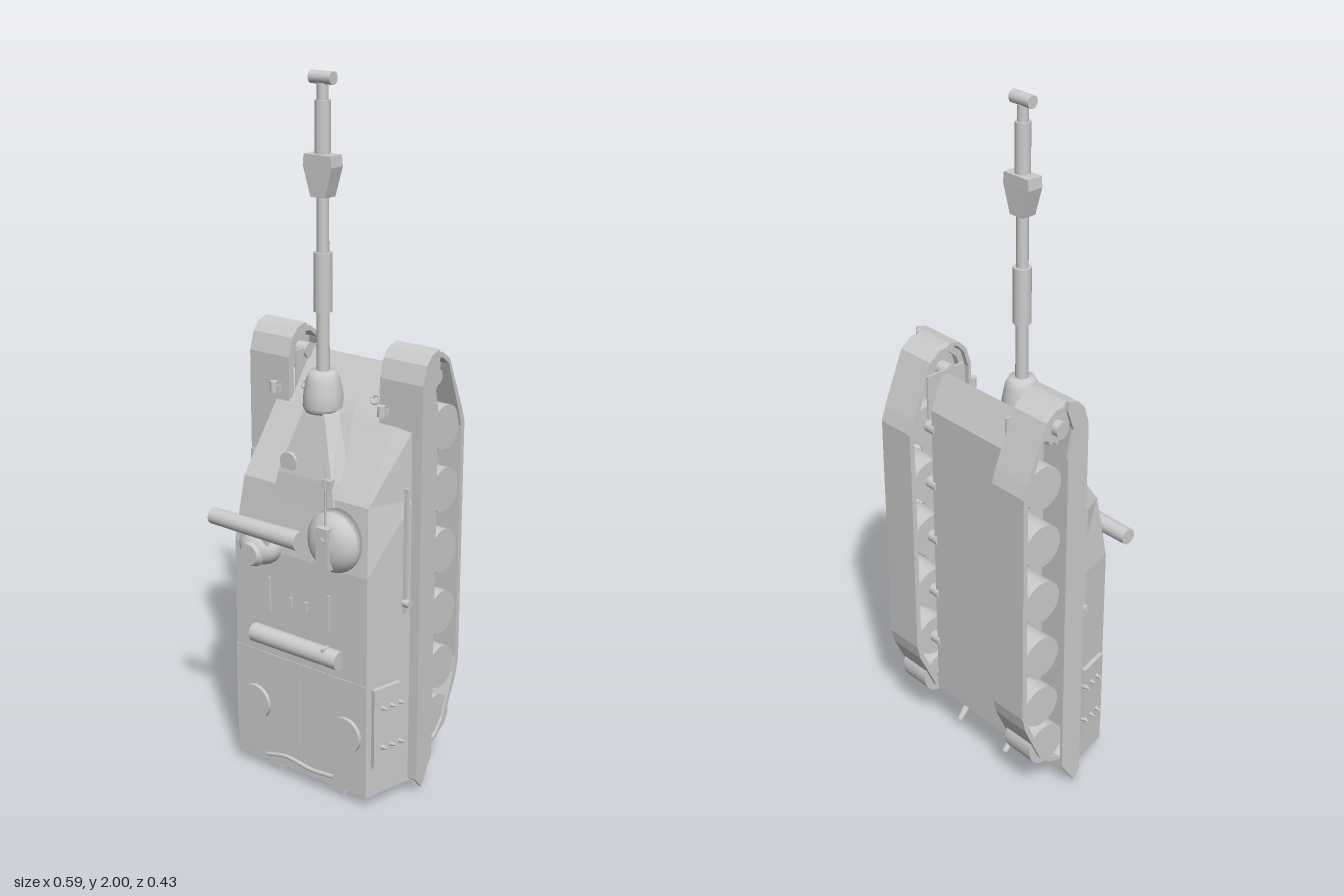
import * as THREE from 'three';

const mat = new THREE.MeshStandardMaterial({ color: 0xcccccc });
const flat = new THREE.MeshStandardMaterial({ color: 0xcccccc, flatShading: true });

export function createModel() {
  const root = new THREE.Group();
  root.name = 'trackedVehicle';
  const body = new THREE.Group();
  body.name = 'vehicle';
  body.position.x = -0.004;
  root.add(body);

  const add = (name, geo, x = 0, y = 0, z = 0, m = mat) => {
    const mesh = new THREE.Mesh(geo, m);
    mesh.name = name;
    mesh.position.set(x, y, z);
    body.add(mesh);
    return mesh;
  };
  const box = (name, w, h, d, x, y, z) => add(name, new THREE.BoxGeometry(w, h, d), x, y, z);
  const cyl = (r1, r2, h, n = 24) => new THREE.CylinderGeometry(r1, r2, h, n);
  const cylX = (r1, r2, h, n = 24) => cyl(r1, r2, h, n).rotateZ(-Math.PI / 2);
  const cylZ = (r1, r2, h, n = 24) => cyl(r1, r2, h, n).rotateX(Math.PI / 2);

  // Side profile given as [z, y] points, extruded across x and centred
  const side = (pts, width, hole) => {
    const s = new THREE.Shape(pts.map(p => new THREE.Vector2(...p)));
    if (hole) s.holes.push(new THREE.Path(hole.map(p => new THREE.Vector2(...p))));
    return new THREE.ExtrudeGeometry(s, { depth: width, bevelEnabled: false })
      .translate(0, 0, -width / 2).rotateY(-Math.PI / 2);
  };

  // Closed loft through rings: each section is [y, [[x, z], ...]]
  const loft = sections => {
    const v = [];
    const put = (s, i) => v.push(s[1][i][0], s[0], s[1][i][1]);
    const n = sections[0][1].length, last = sections[sections.length - 1];
    for (let k = 0; k + 1 < sections.length; k++) {
      const a = sections[k], b = sections[k + 1];
      for (let i = 0; i < n; i++) {
        const j = (i + 1) % n;
        put(a, i); put(a, j); put(b, j);
        put(a, i); put(b, j); put(b, i);
      }
    }
    for (let i = 1; i + 1 < n; i++) {
      put(last, 0); put(last, i); put(last, i + 1);
      put(sections[0], 0); put(sections[0], i + 1); put(sections[0], i);
    }
    const g = new THREE.BufferGeometry();
    g.setAttribute('position', new THREE.Float32BufferAttribute(v, 3));
    g.computeVertexNormals();
    return g;
  };

  // Hull: lower tub between the tracks, upper body over them
  add('lowerHull', side([[-0.146, 0.17], [-0.03, 0.04], [0.01, 0.04], [0.01, 1.075],
    [-0.097, 1.222], [-0.146, 1.12]], 0.304));
  const trap = (wb, wt, t) => [[-wb, -0.004], [-wt, t], [wt, t], [wb, -0.004]];
  add('upperHull', loft([
    [0.04, trap(0.268, 0.232, 0.155)],
    [0.7, trap(0.268, 0.232, 0.155)],
    [0.89, trap(0.268, 0.215, 0.13)],
    [1.09, trap(0.266, 0.2, 0)],
  ]), 0, 0, 0, flat);

  // Raised gun housing on the sloping front
  const hump = (w, t, f) => [[-w, -0.02], [-w * 0.97, t * 0.6], [-w * f, t],
    [w * f, t], [w * 0.97, t * 0.6], [w, -0.02]];
  add('gunHousing', loft([
    [0.86, hump(0.125, 0.138, 0.85)],
    [0.93, hump(0.118, 0.13, 0.78)],
    [1.1, hump(0.062, 0.09, 0.6)],
    [1.13, hump(0.05, 0.075, 0.6)],
  ]), 0, 0, 0, flat);
  add('housingHatch', cylZ(0.028, 0.028, 0.014), -0.06, 0.96, 0.121);
  box('housingSight', 0.03, 0.025, 0.02, 0.08, 0.93, 0.13);

  // Gun
  const GZ = 0.048;
  const lathe = pts => new THREE.LatheGeometry(pts.map(p => new THREE.Vector2(...p)), 24);
  add('mantlet', lathe([[0, 1.1], [0.05, 1.1], [0.056, 1.115], [0.054, 1.15],
    [0.046, 1.19], [0.036, 1.212], [0, 1.215]]), 0, 0, GZ);
  add('barrel', cyl(0.015, 0.018, 0.78), 0, 1.58, GZ);
  add('barrelSleeve', cyl(0.025, 0.025, 0.16), 0, 1.455, GZ);
  const rect = (w, d) => [[-w, -d], [-w, d], [w, d], [w, -d]];
  add('fumeExtractor', loft([[1.68, rect(0.024, 0.022)], [1.76, rect(0.047, 0.024)],
    [1.79, rect(0.044, 0.024)]]), 0, 0, GZ, flat);
  add('muzzleSleeve', cyl(0.021, 0.021, 0.135), 0, 1.86, GZ);
  add('muzzleBrake', cylX(0.017, 0.017, 0.07), 0, 1.983, GZ);

  // Running gear, mirrored
  const loop = [[-0.012, 0.15], [-0.012, 1.21], [-0.028, 1.258], [-0.06, 1.283], [-0.1, 1.28],
    [-0.135, 1.255], [-0.2, 1.1], [-0.213, 1.06], [-0.213, 0.345], [-0.203, 0.3],
    [-0.145, 0.17], [-0.11, 0.135], [-0.06, 0.115], [-0.025, 0.125]];
  const inner = loop.map(([z, y]) => [-0.112 + (z + 0.112) * 0.85, 0.69 + (y - 0.69) * 0.974]);
  const rim = [[0.004, 0.05], [0.004, 1.21], [-0.012, 1.262], [-0.036, 1.287], [-0.07, 1.296]];
  const rimIn = rim.map(([z, y]) => [z - 0.009, y - 0.008]).reverse();
  for (const s of [1, -1]) {
    add('track', side(loop, 0.12, inner), s * 0.224);
    add('fender', side([...rim, ...rimIn], 0.132), s * 0.222);
    add('sideSkirt', side([...rim, [-0.072, 1.27], [-0.05, 1.21], [-0.068, 1.13],
      [-0.068, 0.1], [-0.02, 0.02]], 0.008), s * 0.292);
    for (const y of [1.06, 0.88, 0.7, 0.515, 0.345, 0.2]) {
      const z = y < 0.25 ? -0.115 : -0.135;
      add('roadWheel', cylX(0.063, 0.063, 0.1, 28), s * 0.226, y, z);
      add('wheelAxle', cylX(0.018, 0.018, 0.05, 12), s * 0.165, y, z);
    }
    // Toothed drive sprocket
    const teeth = Array.from({ length: 24 }, (_, i) => {
      const a = i * Math.PI / 12, r = i % 2 ? 0.042 : 0.052;
      return [Math.cos(a) * r, Math.sin(a) * r];
    });
    add('driveSprocket', side(teeth, 0.08), s * 0.224, 1.215, -0.078);
    add('sprocketHub', cylX(0.022, 0.022, 0.14), s * 0.215, 1.215, -0.078);
    box('trackGuard', 0.006, 0.13, 0.13, s * 0.155, 1.16, -0.09);

    // Headlights and tow hooks on the nose
    add('headlight', cyl(0.011, 0.011, 0.03, 14), s * 0.185, 1.13, 0.035);
    box('headlightBracket', 0.006, 0.02, 0.04, s * 0.185, 1.12, 0.015);
    const hook = add('towHook', new THREE.TorusGeometry(0.012, 0.004, 8, 16), s * 0.12, 1.135, -0.026);
    hook.rotation.x = -0.6;

    // Stowage on the sloping sides
    const bin = box('stowagePanel', 0.014, 0.24, 0.095, s * 0.252, 0.25, 0.092);
    bin.rotation.y = -s * 0.24;
    for (const z of [0.05, 0.08, 0.11]) for (const y of [0.19, 0.31]) {
      const stud = add('sideStud', cylX(0.002, 0.009, 0.022, 6), s * (0.283 - z * 0.2), y, z);
      if (s < 0) stud.rotation.z = Math.PI;
    }
    box('sideRail', 0.01, 0.36, 0.01, s * 0.268, 0.75, 0.03);
    add('sideLamp', cylX(0.012, 0.012, 0.02, 12), s * 0.274, 0.6, 0.03);

    // Rear fittings
    box('rearFoot', 0.04, 0.05, 0.025, s * 0.115, 0.03, 0.12);
    box('mudFlap', 0.1, 0.05, 0.012, s * 0.225, 0.045, -0.015);
    const rearHook = add('rearHook', cyl(0.013, 0.009, 0.06, 10), s * 0.1, 0.08, -0.09);
    rearHook.rotation.x = 0.7;

    // Engine deck covers and ribs
    add('deckCover', cylZ(0.053, 0.053, 0.016, 32), s * 0.162, 0.217, 0.158);
    box('deckRib', 0.006, 0.11, 0.012, s * 0.105, 0.565, 0.158);
    box('deckClip', 0.006, 0.03, 0.014, s * 0.027, 0.565, 0.158);
  }

  // Deck roll, seams and rear grille
  add('stowageRoll', cylX(0.027, 0.027, 0.305), -0.006, 0.44, 0.163);
  box('rollStrap', 0.01, 0.058, 0.03, 0.1, 0.44, 0.168);
  box('deckSeam', 0.46, 0.005, 0.004, 0, 0.38, 0.155);
  box('deckSeam', 0.004, 0.3, 0.004, 0, 0.23, 0.155);
  for (let i = 0; i < 5; i++) box('rearGrilleBar', 0.2, 0.01, 0.009, 0, 0.038, 0.03 + i * 0.022);
  add('rearCable', new THREE.TubeGeometry(new THREE.CatmullRomCurve3([[-0.12, 0.06], [-0.05, 0.075],
    [0.04, 0.065], [0.12, 0.07]].map(p => new THREE.Vector3(p[0], p[1], 0.158))), 24, 0.006, 8));

  // Commander cupola with sight and antenna
  add('cupola', lathe([[0, -0.02], [0.09, -0.02], [0.085, 0.012], [0.07, 0.03], [0.045, 0.046],
    [0, 0.05]]).rotateX(Math.PI / 2), 0.119, 0.78, 0.15);
  box('cupolaSight', 0.04, 0.12, 0.04, 0.119, 0.775, 0.188);
  add('sightLens', cylZ(0.01, 0.01, 0.02, 14), 0.119, 0.8, 0.202);
  add('antenna', cyl(0.002, 0.004, 0.24, 8), 0.116, 0.895, 0.187);

  // Second hatch with transverse tube
  add('hatchDome', new THREE.SphereGeometry(0.058, 24, 16).scale(1.15, 0.9, 0.9), -0.13, 0.71, 0.162);
  add('hatchCap', cylZ(0.03, 0.04, 0.02, 20), -0.13, 0.7, 0.208);
  add('tubeMount', new THREE.BoxGeometry(0.1, 0.04, 0.05), -0.13, 0.75, 0.17);
  add('rangefinderTube', cylX(0.027, 0.023, 0.312), -0.128, 0.77, 0.188);

  return root;
}
